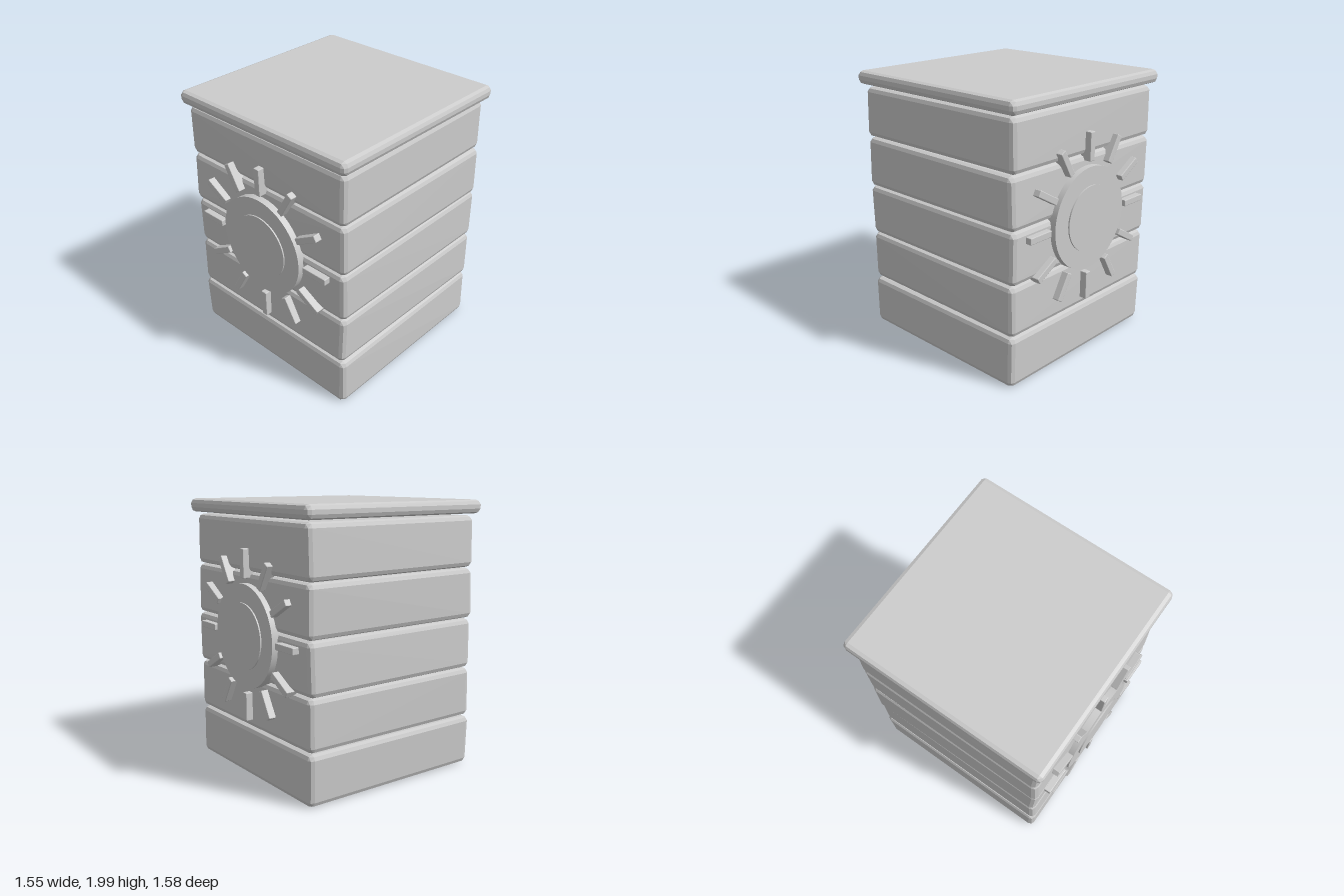
import * as THREE from 'three';
import { ConvexGeometry } from 'three/addons/geometries/ConvexGeometry.js';

// Box with two-step bevels; "wobble" shifts each corner a little for a hand-cut look.
function beveledBox(w, h, d, bevel, wobble = () => 0) {
  const a = Math.SQRT1_2;
  const rounding = [
    [1, 0, 0], [0, 1, 0], [0, 0, 1],
    [a, a, 0], [a, 0, a], [0, a, a],
  ];
  const points = [];
  for (const sx of [-1, 1]) for (const sy of [-1, 1]) for (const sz of [-1, 1]) {
    const corner = [
      w / 2 - bevel + wobble(),
      h / 2 - bevel + wobble() * 0.4,
      d / 2 - bevel + wobble(),
    ];
    for (const [x, y, z] of rounding) {
      points.push(new THREE.Vector3(
        sx * (corner[0] + bevel * x),
        sy * (corner[1] + bevel * y),
        sz * (corner[2] + bevel * z),
      ));
    }
  }
  return new ConvexGeometry(points);
}

function seededRandom(seed) {
  return () => {
    seed = (seed * 16807) % 2147483647;
    return seed / 2147483647;
  };
}

export function createModel() {
  const model = new THREE.Group();
  model.name = 'stackedPillar';
  const stone = new THREE.MeshStandardMaterial({ color: 0xcccccc });
  stone.name = 'light grey stone';

  const add = (parent, name, geometry, x, y, z) => {
    const mesh = new THREE.Mesh(geometry, stone);
    mesh.name = name;
    mesh.position.set(x, y, z);
    parent.add(mesh);
    return mesh;
  };

  // Five slightly uneven stone courses
  const random = seededRandom(77);
  const wobble = () => (random() - 0.5) * 0.014;
  const pitch = 0.377;
  for (let i = 0; i < 5; i++) {
    add(model, `stoneCourse${i + 1}`, beveledBox(1.472, 0.371, 1.472, 0.036, wobble),
      0, 0.192 + i * pitch, 0);
  }

  // Overhanging cap slab
  add(model, 'capSlab', beveledBox(1.546, 0.098, 1.546, 0.034), 0, 1.951, 0);

  // Sun relief, repeated on the front and the back
  const makeSun = (name) => {
    const sun = new THREE.Group();
    sun.name = name;
    const disc = (part, radius, back, front) => {
      const geometry = new THREE.CylinderGeometry(radius, radius, front - back, 48);
      geometry.rotateX(Math.PI / 2);
      add(sun, part, geometry, 0, 0, (back + front) / 2);
    };
    disc('outerDisc', 0.373, 0.69, 0.782);
    disc('innerDisc', 0.239, 0.77, 0.792);

    const rayShape = beveledBox(0.206, 0.048, 0.085, 0.005);
    for (let i = 0; i < 12; i++) {
      const angle = (i * Math.PI) / 6;
      const ray = add(sun, 'sunRay', rayShape,
        0.513 * Math.cos(angle), 0.513 * Math.sin(angle), 0.7425);
      ray.rotation.z = angle;
    }
    sun.position.y = 1.062;
    return sun;
  };
  const backSun = makeSun('backSun');
  backSun.rotation.y = Math.PI;
  model.add(makeSun('frontSun'), backSun);

  return model;
}
